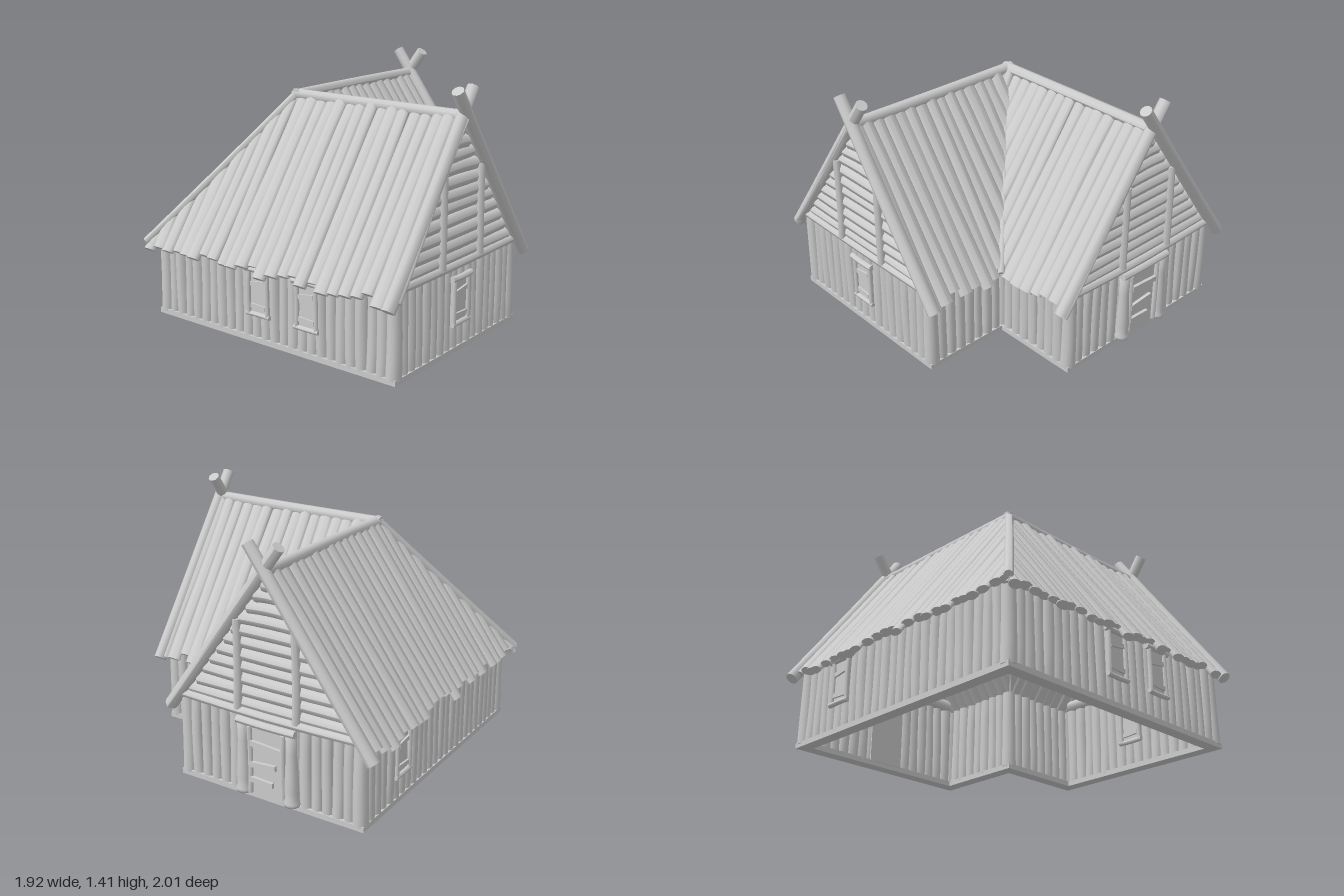
import * as THREE from 'three';
import { mergeGeometries } from 'three/addons/utils/BufferGeometryUtils.js';

const HALF = 0.537;   // half width of each wing, wall centre line
const LEN = 1.05;     // wing length from the ridge junction
const RIDGE = 1.255;  // roof height
const PITCH = 1.38;   // roof drop per unit outwards
const EAVE = 0.61;    // horizontal reach of the roof

export function createModel() {
  const mat = new THREE.MeshStandardMaterial({ color: 0xcccccc });
  let seed = 7;
  const rand = (a, b) => {
    seed = (seed * 16807) % 2147483647;
    return a + (b - a) * seed / 2147483647;
  };
  const V = (x, y, z) => new THREE.Vector3(x, y, z);
  const up = V(0, 1, 0);
  const add = (parent, name, geos) => {
    const mesh = new THREE.Mesh(Array.isArray(geos) ? mergeGeometries(geos) : geos, mat);
    mesh.name = name;
    parent.add(mesh);
    return mesh;
  };

  // Slightly bent round timber from a to b
  const log = (a, b, r0, r1 = r0, bend = 0.004, sides = 9) => {
    const dir = b.clone().sub(a);
    const g = new THREE.CylinderGeometry(r1, r0, dir.length(), sides, 4);
    const p = g.attributes.position, h = dir.length();
    const bx = rand(-bend, bend), bz = rand(-bend, bend);
    for (let i = 0; i < p.count; i++) {
      const s = Math.cos(p.getY(i) / h * Math.PI);
      p.setX(i, p.getX(i) + bx * s);
      p.setZ(i, p.getZ(i) + bz * s);
    }
    g.computeVertexNormals();
    g.applyQuaternion(new THREE.Quaternion().setFromUnitVectors(up, dir.normalize()));
    const mid = a.clone().add(b).multiplyScalar(0.5);
    return g.translate(mid.x, mid.y, mid.z);
  };

  const house = new THREE.Group();
  house.name = 'house';
  house.rotation.y = 0.147;
  house.position.set(-0.235, 0, -0.2);

  // L-shaped floor outline, grown by o
  const outline = (o) => {
    const h = HALF + o, l = LEN + o;
    return [[-h, -h], [l, -h], [l, h], [h, h], [h, l], [-h, l]].map(([x, z]) => new THREE.Vector2(x, z));
  };

  // Sill beam ring
  const sill = new THREE.Shape(outline(0.035));
  sill.holes.push(new THREE.Path(outline(-0.035)));
  const sillGeo = new THREE.ExtrudeGeometry(sill, { depth: 0.03, bevelEnabled: false });
  add(house, 'sillBeam', sillGeo.rotateX(Math.PI / 2).translate(0, 0.03, 0));

  // Upright wall logs and corner posts
  const corners = outline(0);
  corners.forEach((c, i) => {
    const e = corners[(i + 1) % 6];
    const n = Math.round(c.distanceTo(e) / 0.064), geos = [];
    for (let k = 1; k < n; k++) {
      const q = c.clone().lerp(e, k / n);
      const r = rand(0.033, 0.038);
      geos.push(log(V(q.x, 0.02, q.y), V(q.x + rand(-0.006, 0.006), 0.48, q.y + rand(-0.006, 0.006)), r, r * 0.95));
    }
    add(house, 'wall', geos);
    add(house, 'cornerPost', log(V(c.x, 0.02, c.y), V(c.x, 0.48, c.y), 0.042, 0.036, 0.004, 12));
  });

  // Roof slope: planks clipped to the hip or valley; place() maps to plan
  const nOut = PITCH / Math.hypot(1, PITCH), nUp = 1 / Math.hypot(1, PITCH);
  const slope = (name, outer, flip, place) => {
    const geos = [];
    const step = 0.069;
    for (let u0 = outer ? -0.58 : 0.04; u0 < 1.09; u0 += step) {
      const g = new THREE.CylinderGeometry(1, 1, 1, 10, 6);
      const p = g.attributes.position;
      const ru = rand(0.039, 0.047), rn = rand(0.019, 0.026);
      const skew = rand(-0.014, 0.014), reach = EAVE + rand(-0.022, 0.02);
      const lift = rand(-0.005, 0.006), bow = rand(-0.006, 0.006);
      for (let i = 0; i < p.count; i++) {
        const t = 0.5 - p.getY(i);
        const u = u0 + p.getX(i) * ru * (0.88 + 0.12 * t) + skew * (t - 0.5) + bow * Math.sin(t * 5);
        const top = outer ? Math.min(Math.max(0, -u), reach - 0.01) : 0;
        const end = outer ? reach : Math.min(reach, Math.max(u, 0.01));
        const d = top + (end - top) * t;
        const n = p.getZ(i) * rn * (0.8 + 0.2 * t) + lift;
        const [x, z] = place(u, d + n * nOut);
        p.setXYZ(i, x, RIDGE - PITCH * d + n * nUp, z);
      }
      if (flip) {
        const a = g.index.array;
        for (let i = 0; i < a.length; i += 3) [a[i], a[i + 1]] = [a[i + 1], a[i]];
      }
      g.computeVertexNormals();
      geos.push(g);
    }
    add(house, name, geos);
  };
  slope('roofBack', true, true, (u, d) => [u, -d]);
  slope('roofInnerFront', false, false, (u, d) => [u, d]);
  slope('roofOuterSide', true, false, (u, d) => [-d, u]);
  slope('roofInnerSide', false, true, (u, d) => [d, u]);

  // Ridge, hip and valley timbers
  const ry = RIDGE - 0.005, low = RIDGE + 0.015 - PITCH * 0.61;
  add(house, 'ridgeBeams', [
    log(V(-0.025, ry, 0), V(1.1, ry, 0), 0.032),
    log(V(0, ry, -0.025), V(0, ry, 1.1), 0.032),
  ]);
  add(house, 'hipBeam', log(V(0, RIDGE + 0.005, 0), V(-0.615, low, -0.615), 0.024));
  add(house, 'valleyBeam', log(V(0, RIDGE, 0), V(0.62, low, 0.62), 0.02));

  // Gable facing +z; turned a quarter for the other wing
  const gable = (turn) => {
    const g = new THREE.Group();
    g.name = 'gable';
    g.rotation.y = turn;
    const logs = [];
    for (let y = 0.52; y < 1.2; y += 0.066) {
      const w = (RIDGE - y) / PITCH - 0.035;
      logs.push(log(V(-w, y + rand(-0.006, 0.006), LEN), V(w, y + rand(-0.006, 0.006), LEN), rand(0.036, 0.041), 0.037));
    }
    add(g, 'gableLogs', logs);
    add(g, 'tieBeam', log(V(-0.56, 0.485, LEN + 0.025), V(0.56, 0.485, LEN + 0.025), 0.025, 0.025, 0.008));
    for (const s of [-1, 1]) {
      add(g, 'gablePost', log(V(s * 0.18, 0.49, LEN + 0.035), V(s * 0.175, 0.98, LEN + 0.035), 0.024, 0.022));
      const z = 1.088 + s * 0.008, at = (d) => V(s * d, 1.27 - PITCH * d, z);
      add(g, 'crossedRafter', log(at(-0.085), at(0.63), 0.033, 0.036, 0.003, 10));
    }
    house.add(g);
    return g;
  };
  gable(0);
  const doorGable = gable(Math.PI / 2);

  const box = (w, h, d, x, y, z, tilt = 0) =>
    new THREE.BoxGeometry(w, h, d).rotateZ(tilt).translate(x, y, z);

  // Boarded window, framed on both faces of the wall
  const windowAt = (x, z, turn) => {
    const g = new THREE.Group();
    g.name = 'window';
    g.position.set(x, 0, z);
    g.rotation.y = turn;
    add(g, 'windowPanel', box(0.13, 0.24, 0.076, 0, 0.29, 0));
    for (const s of [-1, 1]) {
      const zf = s * 0.042;
      add(g, 'windowFrame', [
        log(V(-0.065, 0.16, zf), V(-0.063, 0.41, zf), 0.013),
        log(V(0.065, 0.16, zf), V(0.063, 0.41, zf), 0.013),
        log(V(-0.09, 0.415, zf), V(0.09, 0.415, zf), 0.017),
        log(V(-0.08, 0.165, zf), V(0.08, 0.165, zf), 0.014),
      ]);
      add(g, 'windowBoards', [
        box(0.1, 0.025, 0.014, 0.0, 0.34, zf, 0.14),
        box(0.1, 0.025, 0.014, 0.0, 0.21, zf, -0.06),
      ]);
    }
    house.add(g);
  };
  windowAt(0, LEN, 0);
  windowAt(0.7, -HALF, Math.PI);
  windowAt(-HALF, 0.2, -Math.PI / 2);
  windowAt(-HALF, 0.53, -Math.PI / 2);

  // Doorway with turned posts, lintel and nailed boards
  const door = new THREE.Group();
  door.name = 'door';
  door.position.z = LEN;
  add(door, 'doorPanel', box(0.22, 0.39, 0.08, 0, 0.22, 0));
  const postProfile = [[0, 0.02], [0.042, 0.025], [0.047, 0.045], [0.036, 0.065], [0.04, 0.11],
    [0.036, 0.2], [0.03, 0.32], [0.032, 0.42], [0, 0.42]].map(([r, y]) => new THREE.Vector2(r, y));
  for (const s of [-1, 1]) {
    add(door, 'doorPost', new THREE.LatheGeometry(postProfile, 12)).position.set(s * 0.15, 0, 0.035);
    add(door, 'doorJamb', log(V(s * 0.105, 0.03, 0.045), V(s * 0.105, 0.41, 0.045), 0.014));
  }
  add(door, 'lintel', log(V(-0.18, 0.435, 0.045), V(0.18, 0.435, 0.045), 0.022));
  add(door, 'doorBoards', [
    box(0.19, 0.03, 0.02, 0, 0.315, 0.048, -0.06),
    box(0.16, 0.03, 0.02, -0.02, 0.205, 0.048, 0.08),
    box(0.14, 0.03, 0.02, -0.03, 0.11, 0.048, -0.04),
  ]);
  doorGable.add(door);

  const model = new THREE.Group();
  model.name = 'logHouse';
  model.add(house);
  return model;
}
